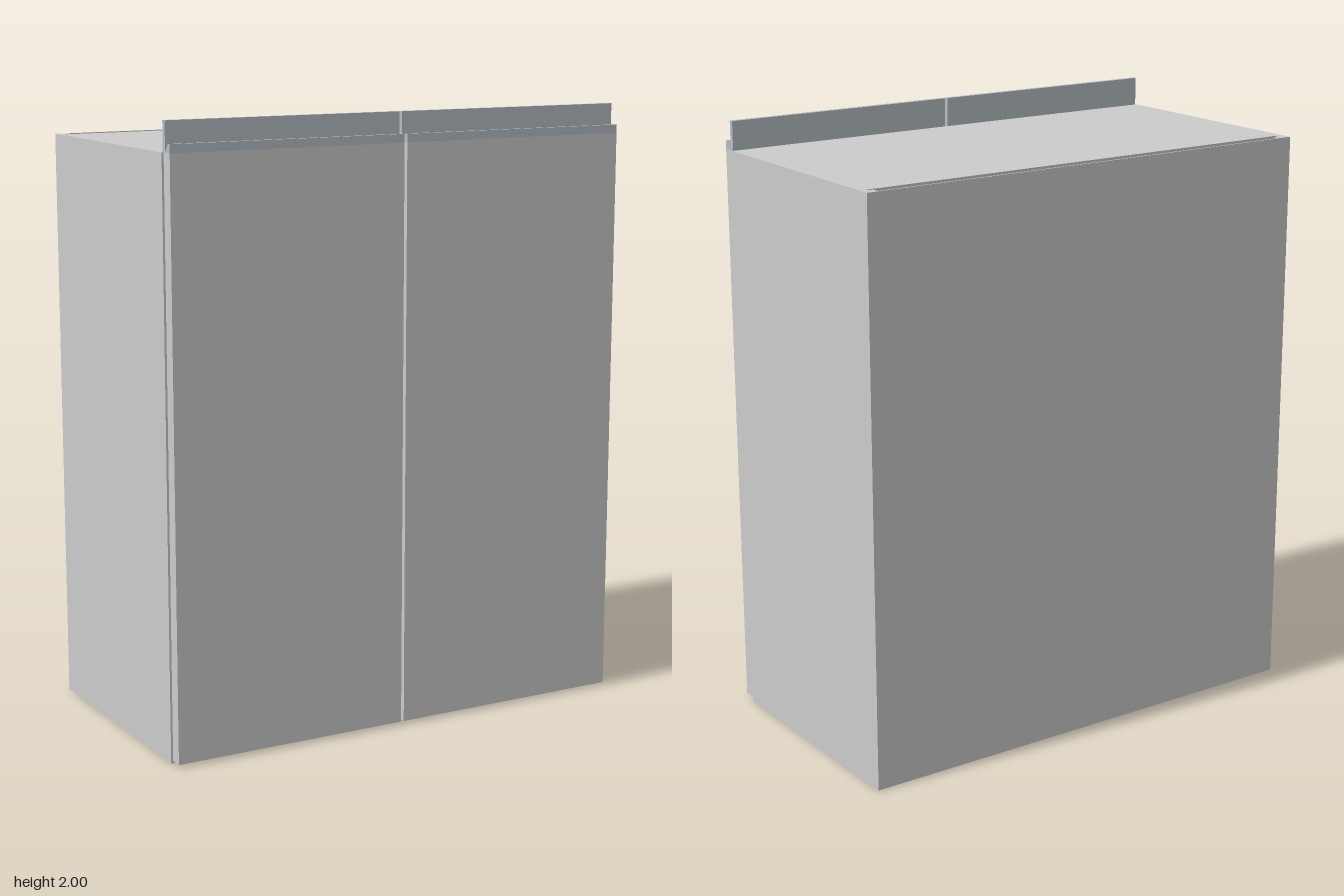
import * as THREE from 'three';

const grey = new THREE.MeshStandardMaterial({ color: 0xcccccc });
const metal = new THREE.MeshStandardMaterial({ color: 0xb6bec4 });

// Box given by its min and max corners
function panel(name, [x0, y0, z0], [x1, y1, z1]) {
  const geo = new THREE.BoxGeometry(x1 - x0, y1 - y0, z1 - z0);
  geo.translate((x0 + x1) / 2, (y0 + y1) / 2, (z0 + z1) / 2);
  const mesh = new THREE.Mesh(geo, grey);
  mesh.name = name;
  return mesh;
}

// Closed outline of [x, y] points extruded by depth
function extrude(name, points, depth, material) {
  const shape = new THREE.Shape(points.map(([x, y]) => new THREE.Vector2(x, y)));
  const geo = new THREE.ExtrudeGeometry(shape, { depth, bevelEnabled: false });
  const mesh = new THREE.Mesh(geo, material);
  mesh.name = name;
  return mesh;
}

export function createModel() {
  const group = new THREE.Group();
  group.name = 'wallCabinet';

  const H = 1.905, W = 0.815, inner = 0.775, t = 0.04;
  const back = -0.43, front = 0.387;
  const grooveBack = -0.404, grooveFront = -0.394, grooveX = 0.793;

  for (const s of [-1, 1]) {
    const side = s > 0 ? 'left' : 'right';

    // Side panel: plan outline with a back groove, extruded upwards
    const plan = [
      [W, back], [W, front], [inner, front], [inner, grooveFront],
      [grooveX, grooveFront], [grooveX, grooveBack], [inner, grooveBack], [inner, back],
    ].map(([x, z]) => [s * x, -z]);
    const wall = extrude(side + 'SidePanel', plan, H, grey);
    wall.rotation.x = -Math.PI / 2;
    group.add(wall);

    // Door
    const [x0, x1] = s > 0 ? [0.005, 0.811] : [-0.811, -0.005];
    group.add(panel(side + 'Door', [x0, 0.01, 0.393], [x1, H, 0.435]));

    // Grip rail on the door: upright fin, trough and sloped front lip
    const profile = [
      [0.387, H], [0.435, H], [0.435, 1.932], [0.423, 1.932],
      [0.408, 1.912], [0.403, 1.912], [0.403, 2], [0.387, 2],
    ].map(([z, y]) => [-z, y]);
    const rail = extrude(side + 'GripRail', profile, x1 - x0, metal);
    rail.rotation.y = Math.PI / 2;
    rail.position.x = x0;
    group.add(rail);
  }

  // Bottom, shelf and top boards
  for (const [name, y, z] of [
    ['bottomBoard', 0, front], ['shelf', 0.965, 0.37], ['topBoard', H - t, front],
  ]) {
    group.add(panel(name, [-inner, y, grooveFront], [inner, y + t, z]));
  }

  // Thin back panel
  group.add(panel('backPanel', [-W, 0, -0.435], [W, H, back]));
  return group;
}
